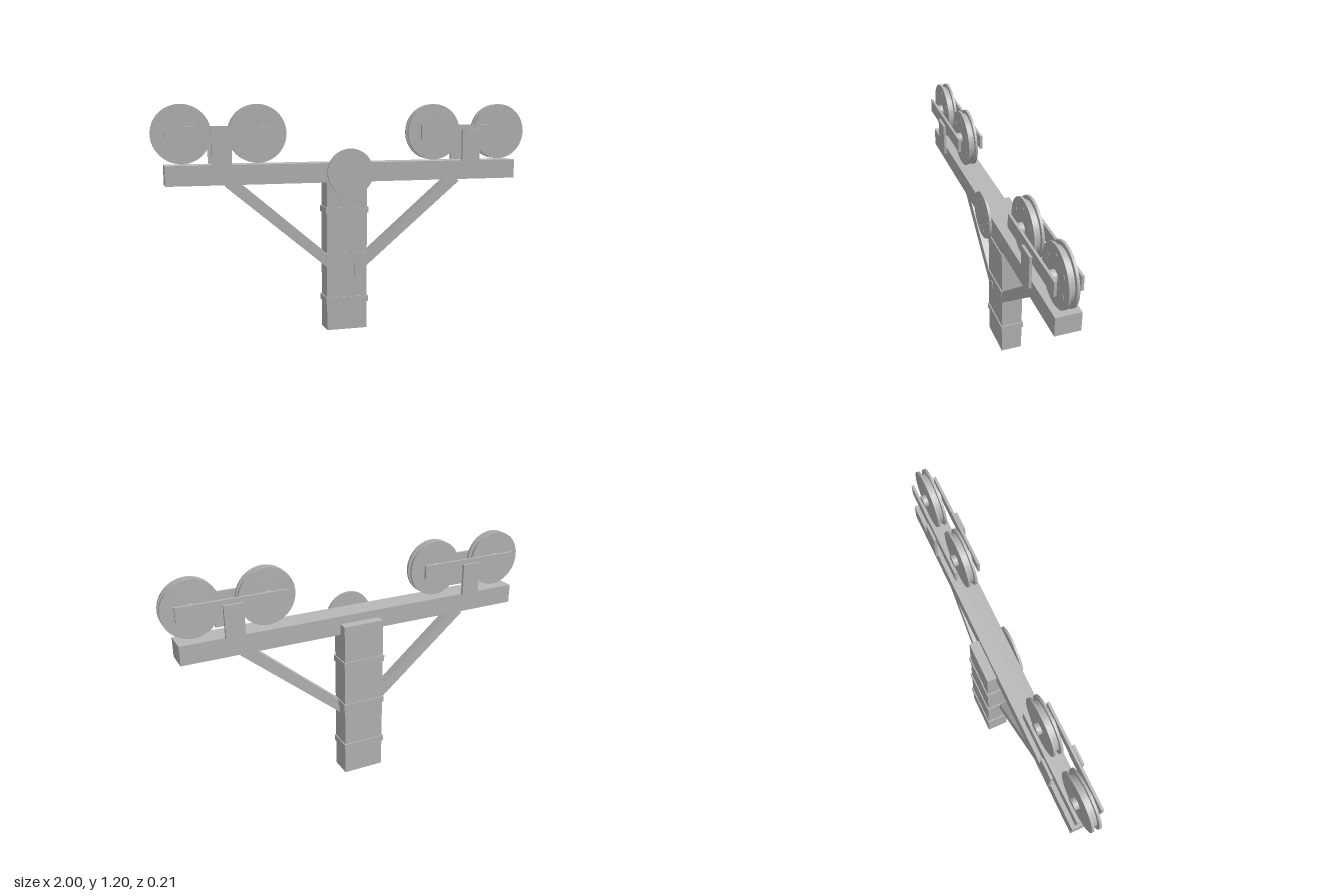
import * as THREE from 'three';

export function createModel() {
  const group = new THREE.Group();
  const steel = new THREE.MeshStandardMaterial({ color: 0xb8b8b8 });
  steel.name = 'grey steel';

  const add = (name, geometry, x = 0, y = 0, z = 0, parent = group) => {
    const mesh = new THREE.Mesh(geometry, steel);
    mesh.name = name;
    mesh.position.set(x, y, z);
    parent.add(mesh);
    return mesh;
  };
  // Box given by its extents along each axis
  const box = (name, x0, x1, y0, y1, z0, z1, parent) => add(name,
    new THREE.BoxGeometry(x1 - x0, y1 - y0, z1 - z0),
    (x0 + x1) / 2, (y0 + y1) / 2, (z0 + z1) / 2, parent);
  // Cylinder lying along z
  const disc = (radius, depth, sides = 48) =>
    new THREE.CylinderGeometry(radius, radius, depth, sides).rotateX(Math.PI / 2);

  // Post with its clamping bands, and the crossbeam
  box('post', -0.11, 0.11, 0, 0.858, -0.1, 0.015);
  for (const y of [0.162, 0.404, 0.646]) box('postBand', -0.116, 0.116, y - 0.016, y + 0.016, -0.106, 0.021);
  box('crossbeam', -0.938, 0.938, 0.8, 0.9, -0.05, 0.075);

  // Round cover plate with a ring of rivets
  add('coverPlate', disc(0.123, 0.012), 0, 0.85, 0.081);
  for (let i = 0; i < 10; i++) {
    const a = i * Math.PI / 5;
    add('coverRivet', disc(0.006, 0.002, 10), 0.085 * Math.cos(a), 0.85 + 0.085 * Math.sin(a), 0.0875);
  }

  // Grooved wheel profile (radius, depth), turned about z
  const profile = [[0, -0.024], [0.147, -0.024], [0.147, -0.012], [0.129, -0.01],
    [0.129, 0.01], [0.147, 0.012], [0.147, 0.024], [0, 0.024]];
  const wheelParts = [];
  for (let i = 0; i < profile.length - 1; i++) {
    const points = [profile[i], profile[i + 1]].map(p => new THREE.Vector2(...p));
    wheelParts.push(new THREE.LatheGeometry(points, 48).rotateX(Math.PI / 2));
  }

  for (const side of [-1, 1]) {
    // Diagonal brace
    const outline = [[0.04, 0.286], [0.635, 0.784], [0.613, 0.81], [0.57, 0.81], [0.04, 0.358]];
    const points = outline.map(([x, y]) => new THREE.Vector2(x * side, y));
    add('brace', new THREE.ExtrudeGeometry(new THREE.Shape(points), { depth: 0.05, bevelEnabled: false }), 0, 0, -0.033);

    // Two-wheel carriage: side plates, hangers, wheels and axles
    const carriage = new THREE.Group();
    carriage.name = 'wheelCarriage';
    carriage.position.x = side * 0.664;
    group.add(carriage);
    box('frontSidePlate', -0.275, 0.275, 1.016, 1.09, 0.075, 0.088, carriage);
    box('backSidePlate', -0.275, 0.275, 1.016, 1.09, -0.046, -0.033, carriage);
    box('frontHanger', -0.05, 0.05, 0.9, 1.067, 0.094, 0.107, carriage);
    box('backHanger', -0.05, 0.05, 0.9, 1.067, -0.063, -0.05, carriage);
    for (const x of [-0.189, 0.189]) {
      const wheel = new THREE.Group();
      wheel.name = 'wheel';
      wheel.position.set(x, 1.053, 0.023);
      carriage.add(wheel);
      for (const part of wheelParts) add('wheelSurface', part, 0, 0, 0, wheel);
      add('axle', disc(0.03, 0.096, 24), 0, 0, 0, wheel);
      for (let i = 0; i < 6; i++) {
        const a = (i + 0.5) * Math.PI / 3;
        add('wheelBolt', disc(0.012, 0.002, 12), 0.1 * Math.cos(a), 0.1 * Math.sin(a), 0.0245, wheel);
      }
    }
  }
  return group;
}
